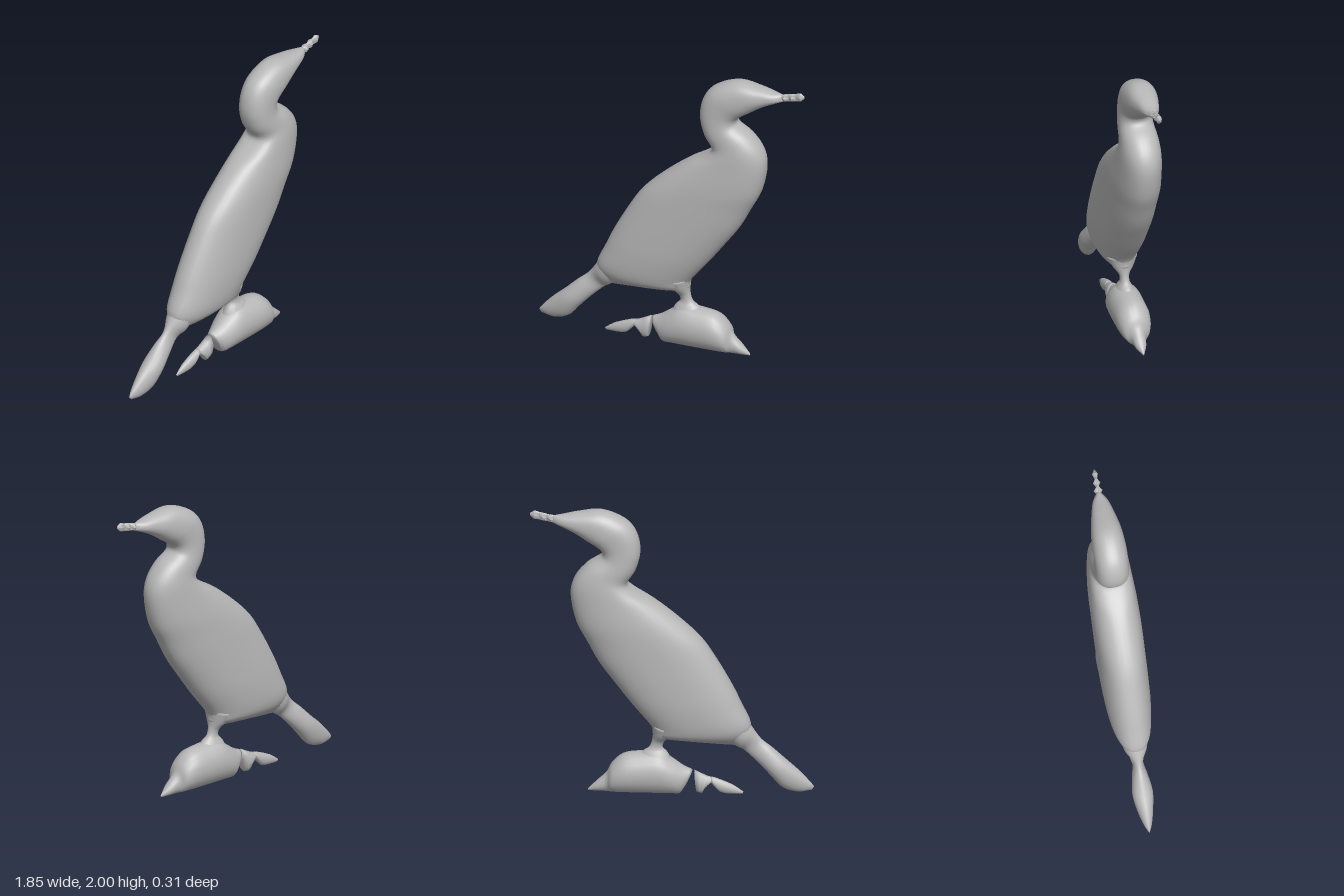
import * as THREE from 'three';

const grey = new THREE.MeshStandardMaterial({ color: 0xb8b8b8 });
grey.name = 'plain grey';

// Lofts smooth rings through stations [ax, ay, bx, by, halfDepth]:
// a and b are opposite outline points in the xy plane, halfDepth is the z radius.
function loft(name, stations, { sides = 28, steps = 4, power = 1, smooth = true } = {}) {
  const line = (f) => new THREE.CatmullRomCurve3(stations.map(f), false, 'catmullrom', 0.5);
  const curveA = line((s) => new THREE.Vector3(s[0], s[1], s[4]));
  const curveB = line((s) => new THREE.Vector3(s[2], s[3], 0));
  const rings = (stations.length - 1) * steps;
  const pos = [];
  const idx = [];
  const bulge = (v) => Math.sign(v) * Math.abs(v) ** power;
  for (let i = 0; i <= rings; i++) {
    const a = curveA.getPoint(i / rings);
    const b = curveB.getPoint(i / rings);
    const depth = Math.max(a.z, 0.002);
    for (let j = 0; j < sides; j++) {
      const t = (j / sides) * Math.PI * 2;
      const k = (1 - bulge(Math.cos(t))) / 2;
      pos.push(a.x + (b.x - a.x) * k, Math.max(0, a.y + (b.y - a.y) * k), depth * bulge(Math.sin(t)));
    }
  }
  for (let i = 0; i < rings; i++) {
    for (let j = 0; j < sides; j++) {
      const p = i * sides + j;
      const q = i * sides + ((j + 1) % sides);
      idx.push(p, q, q + sides, p, q + sides, p + sides);
    }
  }
  // end caps
  for (const end of [0, rings]) {
    const a = curveA.getPoint(end / rings);
    const b = curveB.getPoint(end / rings);
    const c = pos.length / 3;
    pos.push((a.x + b.x) / 2, (a.y + b.y) / 2, 0);
    for (let j = 0; j < sides; j++) {
      const p = end * sides + j;
      const q = end * sides + ((j + 1) % sides);
      if (end === 0) idx.push(c, q, p);
      else idx.push(c, p, q);
    }
  }
  let geo = new THREE.BufferGeometry();
  geo.setAttribute('position', new THREE.Float32BufferAttribute(pos, 3));
  geo.setIndex(idx);
  if (!smooth) geo = geo.toNonIndexed();
  geo.computeVertexNormals();
  const mesh = new THREE.Mesh(geo, grey);
  mesh.name = name;
  return mesh;
}

export function createModel() {
  const bird = new THREE.Group();
  bird.name = 'bird';

  // belly, breast, neck and head in one sweep
  bird.add(loft('bodyNeckAndHead', [
    [-0.45, 0.35, 0.06, 0.38, 0.015],
    [-0.49, 0.41, 0.12, 0.42, 0.10],
    [-0.52, 0.50, 0.13, 0.48, 0.135],
    [-0.46, 0.64, 0.25, 0.63, 0.152],
    [-0.40, 0.77, 0.355, 0.77, 0.156],
    [-0.30, 0.95, 0.47, 0.93, 0.157],
    [-0.20, 1.10, 0.55, 1.08, 0.157],
    [-0.06, 1.235, 0.62, 1.22, 0.155],
    [0.10, 1.36, 0.655, 1.40, 0.143],
    [0.22, 1.43, 0.63, 1.52, 0.135],
    [0.285, 1.49, 0.55, 1.62, 0.125],
    [0.23, 1.59, 0.46, 1.68, 0.115],
    [0.20, 1.72, 0.455, 1.72, 0.11],
    [0.225, 1.85, 0.485, 1.75, 0.11],
    [0.30, 1.94, 0.54, 1.785, 0.11],
    [0.45, 2.0, 0.60, 1.825, 0.098],
    [0.60, 1.985, 0.66, 1.86, 0.075],
    [0.70, 1.965, 0.73, 1.892, 0.05],
    [0.77, 1.957, 0.78, 1.91, 0.012],
  ], { sides: 36, power: 0.88 }));

  // knobbly beak tip
  bird.add(loft('beak', [
    [0.755, 1.958, 0.76, 1.905, 0.01],
    [0.785, 1.962, 0.785, 1.912, 0.03],
    [0.81, 1.968, 0.81, 1.915, 0.008],
    [0.835, 1.975, 0.835, 1.92, 0.025],
    [0.86, 1.98, 0.86, 1.925, 0.008],
    [0.89, 1.99, 0.895, 1.93, 0.02],
    [0.92, 1.97, 0.92, 1.955, 0.003],
  ], { sides: 8, steps: 1, smooth: false }));

  // tail, from tip to root
  bird.add(loft('tail', [
    [-0.93, 0.065, -0.91, 0.04, 0.005],
    [-0.90, 0.105, -0.82, 0.028, 0.03],
    [-0.83, 0.18, -0.72, 0.06, 0.055],
    [-0.75, 0.25, -0.64, 0.15, 0.068],
    [-0.66, 0.335, -0.56, 0.235, 0.052],
    [-0.585, 0.40, -0.475, 0.315, 0.035],
    [-0.52, 0.49, -0.42, 0.35, 0.075],
    [-0.46, 0.58, -0.34, 0.42, 0.09],
  ], { sides: 16 }));

  // leg, flaring into the perch and the belly
  bird.add(loft('leg', [
    [-0.02, 0.20, 0.22, 0.22, 0.09],
    [0.02, 0.28, 0.19, 0.285, 0.05],
    [0.055, 0.32, 0.145, 0.32, 0.032],
    [0.045, 0.36, 0.125, 0.37, 0.035],
    [0.01, 0.40, 0.12, 0.43, 0.07],
    [-0.05, 0.46, 0.13, 0.50, 0.10],
  ], { sides: 16 }));

  // rock perch: main lump, then two broken pieces behind it
  bird.add(loft('perch', [
    [-0.14, 0.165, -0.08, 0.035, 0.045],
    [-0.08, 0.19, -0.055, 0.0, 0.075],
    [0.0, 0.245, 0.0, 0.0, 0.10],
    [0.08, 0.29, 0.08, 0.0, 0.112],
    [0.20, 0.285, 0.20, 0.0, 0.115],
    [0.31, 0.265, 0.31, 0.0, 0.112],
    [0.385, 0.20, 0.385, 0.0, 0.09],
    [0.42, 0.135, 0.42, 0.0, 0.05],
    [0.48, 0.075, 0.48, 0.0, 0.035],
    [0.54, 0.015, 0.54, 0.0, 0.004],
  ], { sides: 20 }));
  bird.add(loft('perchMiddlePiece', [
    [-0.30, 0.105, -0.22, 0.06, 0.025],
    [-0.23, 0.125, -0.20, 0.0, 0.04],
    [-0.15, 0.165, -0.165, 0.01, 0.045],
  ], { sides: 12, steps: 2 }));
  bird.add(loft('perchEndPiece', [
    [-0.47, 0.015, -0.46, 0.0, 0.004],
    [-0.40, 0.065, -0.39, 0.0, 0.022],
    [-0.29, 0.11, -0.32, 0.01, 0.03],
    [-0.26, 0.115, -0.26, 0.075, 0.025],
  ], { sides: 12, steps: 2 }));

  return bird;
}
